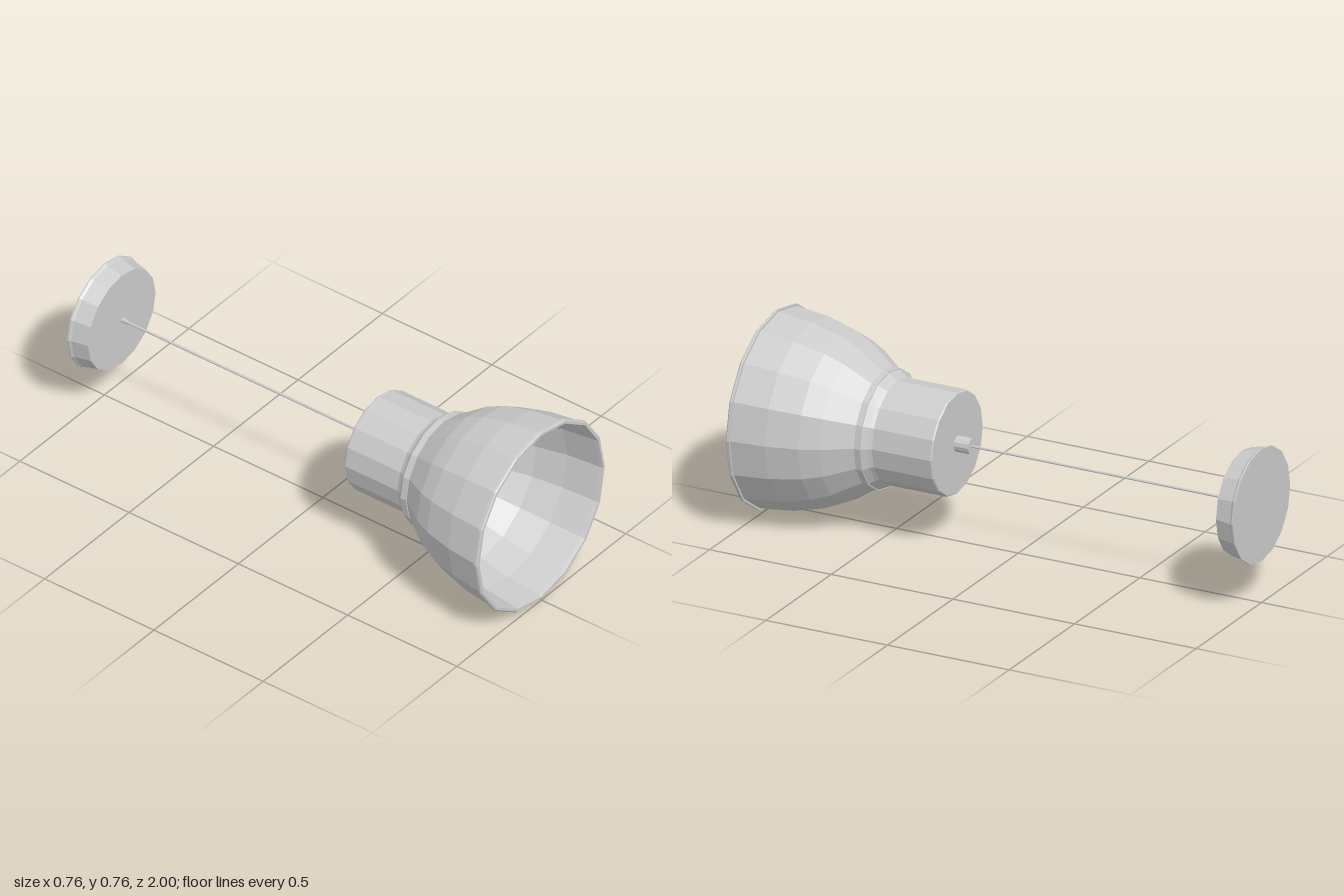
import * as THREE from 'three';

const grey = new THREE.MeshStandardMaterial({ color: 0xcccccc, flatShading: true });

// Surface of revolution about the lamp's axis; profile points are [radius, z], back to front
function turned(name, profile, sides = 16) {
  const points = profile.map(([r, z]) => new THREE.Vector2(r, z));
  const mesh = new THREE.Mesh(new THREE.LatheGeometry(points, sides), grey);
  mesh.name = name;
  mesh.rotation.x = Math.PI / 2;
  return mesh;
}

const rod = (name, r, back, front, sides) =>
  turned(name, [[0, back], [r, back], [r, front], [0, front]], sides);

export function createModel() {
  const lamp = new THREE.Group();
  lamp.name = 'pendantLamp';
  lamp.position.y = 0.381;

  // Ceiling plate with a thin lip, and the cord leaving it
  lamp.add(turned('canopy', [[0, -1], [0.22, -1], [0.22, -0.994], [0.214, -0.985], [0.2, -0.92], [0, -0.92]]));
  lamp.add(rod('cordGrip', 0.009, -0.92, -0.89, 8));
  lamp.add(rod('cord', 0.005, -0.92, 0.2, 8));
  lamp.add(rod('cordSocket', 0.03, 0.19, 0.255, 12));

  // Closed cylindrical housing that flares into the collar
  lamp.add(turned('housing', [[0, 0.25], [0.194, 0.25], [0.198, 0.255], [0.198, 0.495], [0.205, 0.51], [0.222, 0.53]]));
  lamp.add(turned('collar', [[0.215, 0.53], [0.226, 0.53], [0.226, 0.555], [0.215, 0.555]]));

  // Bell: outer wall, rolled rim, then the inner wall back to a flat floor
  lamp.add(turned('shade', [
    [0.222, 0.555], [0.257, 0.605], [0.295, 0.66], [0.327, 0.73], [0.358, 0.85], [0.373, 0.985],
    [0.381, 0.985], [0.381, 0.995], [0.376, 1], [0.366, 1],
    [0.363, 0.985], [0.348, 0.85], [0.317, 0.73], [0.27, 0.635], [0.225, 0.565], [0.168, 0.5], [0, 0.5],
  ]));

  // Round bulb on a short neck
  const bulb = [[0.035, 0.5], [0.035, 0.59]];
  for (let a = 130; a > 0; a -= 26) {
    const t = THREE.MathUtils.degToRad(a);
    bulb.push([0.079 * Math.sin(t), 0.68 + 0.079 * Math.cos(t)]);
  }
  bulb.push([0, 0.759]);
  lamp.add(turned('bulb', bulb));

  const model = new THREE.Group();
  model.add(lamp);
  return model;
}
